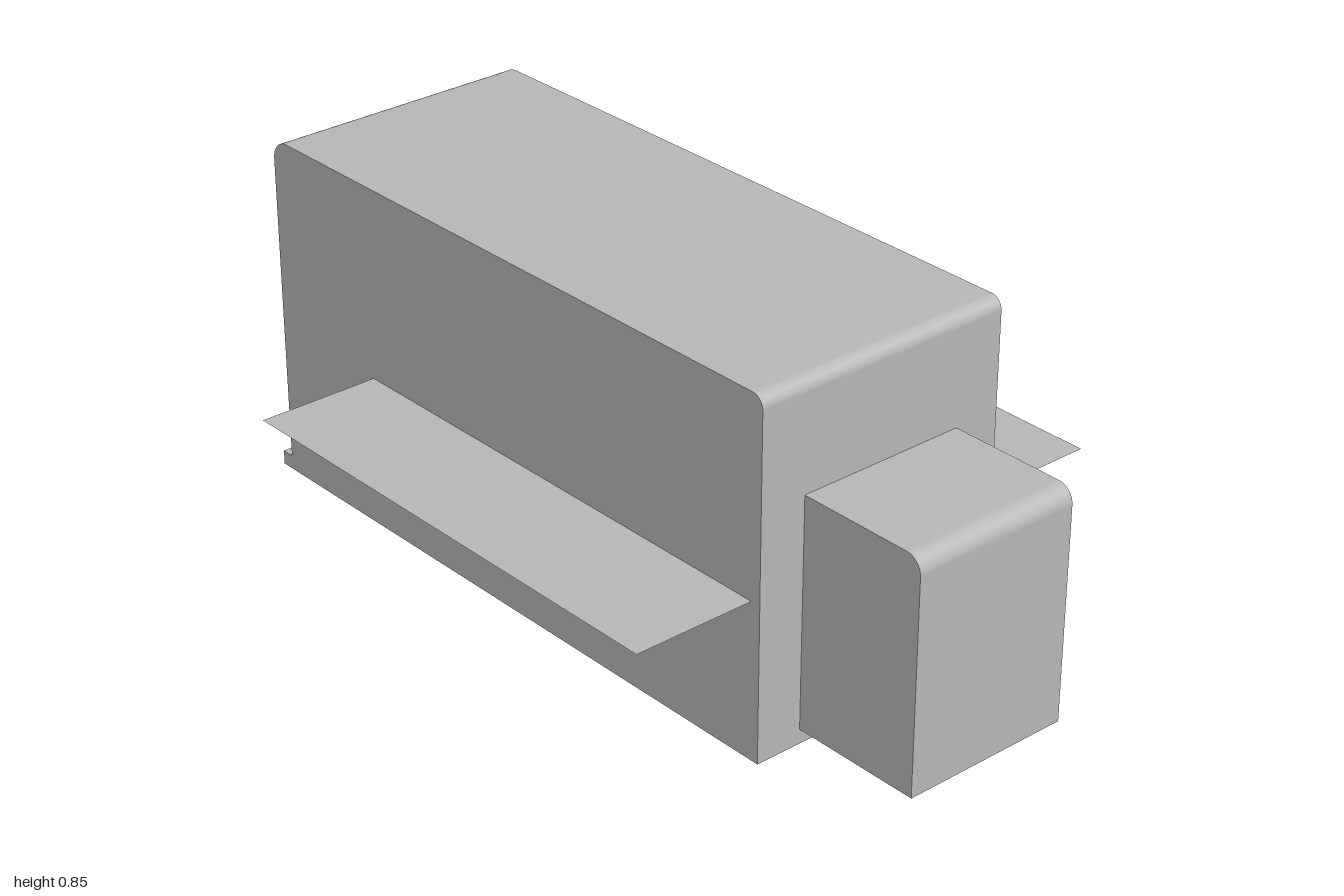
import * as THREE from 'three';

const grey = new THREE.MeshStandardMaterial({ color: 0xb8b8b8 });
grey.name = 'plainGrey';
const greySheet = new THREE.MeshStandardMaterial({ color: 0xb8b8b8, side: THREE.DoubleSide });
greySheet.name = 'plainGreySheet';

// Side outline with rounded top corners; the cavity opens towards -x when hollow
function bodyProfile(hollow) {
  const s = new THREE.Shape();
  s.moveTo(-1, 0);
  s.lineTo(0.67, 0);
  s.lineTo(0.67, 0.82);
  s.absarc(0.64, 0.823, 0.03, 0, Math.PI / 2, false);
  s.lineTo(-0.92, 0.853);
  s.absarc(-0.917, 0.803, 0.05, Math.PI / 2, Math.PI, false);
  if (hollow) {
    s.lineTo(-0.967, 0.74);
    s.lineTo(0.645, 0.74);
    s.lineTo(0.645, 0.05);
    s.lineTo(-0.967, 0.05);
  }
  s.lineTo(-0.967, 0.035);
  s.lineTo(-1, 0.035);
  s.closePath();
  return s;
}

function blockProfile() {
  const s = new THREE.Shape();
  s.moveTo(0.67, 0.035);
  s.lineTo(0.998, 0.035);
  s.lineTo(0.998, 0.55);
  s.absarc(0.958, 0.552, 0.04, 0, Math.PI / 2, false);
  s.lineTo(0.67, 0.592);
  s.closePath();
  return s;
}

// Extrude a side outline between two z positions
function slab(name, shape, z0, z1) {
  const g = new THREE.ExtrudeGeometry(shape, { depth: z1 - z0, bevelEnabled: false, curveSegments: 8 });
  g.translate(0, 0, z0);
  const m = new THREE.Mesh(g, grey);
  m.name = name;
  return m;
}

export function createModel() {
  const model = new THREE.Group();
  model.name = 'openEndedHousing';

  // Hollow body with its sill, closed by a thin wall on each side
  model.add(slab('bodyShell', bodyProfile(true), -0.31, 0.31));
  model.add(slab('leftEndWall', bodyProfile(false), 0.31, 0.33));
  model.add(slab('rightEndWall', bodyProfile(false), -0.33, -0.31));

  // Smaller block on the closed end
  model.add(slab('endBlock', blockProfile(), -0.213, 0.213));

  // Flat sheet running through the body and out of both sides
  const sheet = new THREE.Mesh(new THREE.PlaneGeometry(1.265, 1.264), greySheet);
  sheet.name = 'sideShelf';
  sheet.rotation.x = -Math.PI / 2;
  sheet.position.set(0.0125, 0.38, 0);
  model.add(sheet);

  return model;
}
